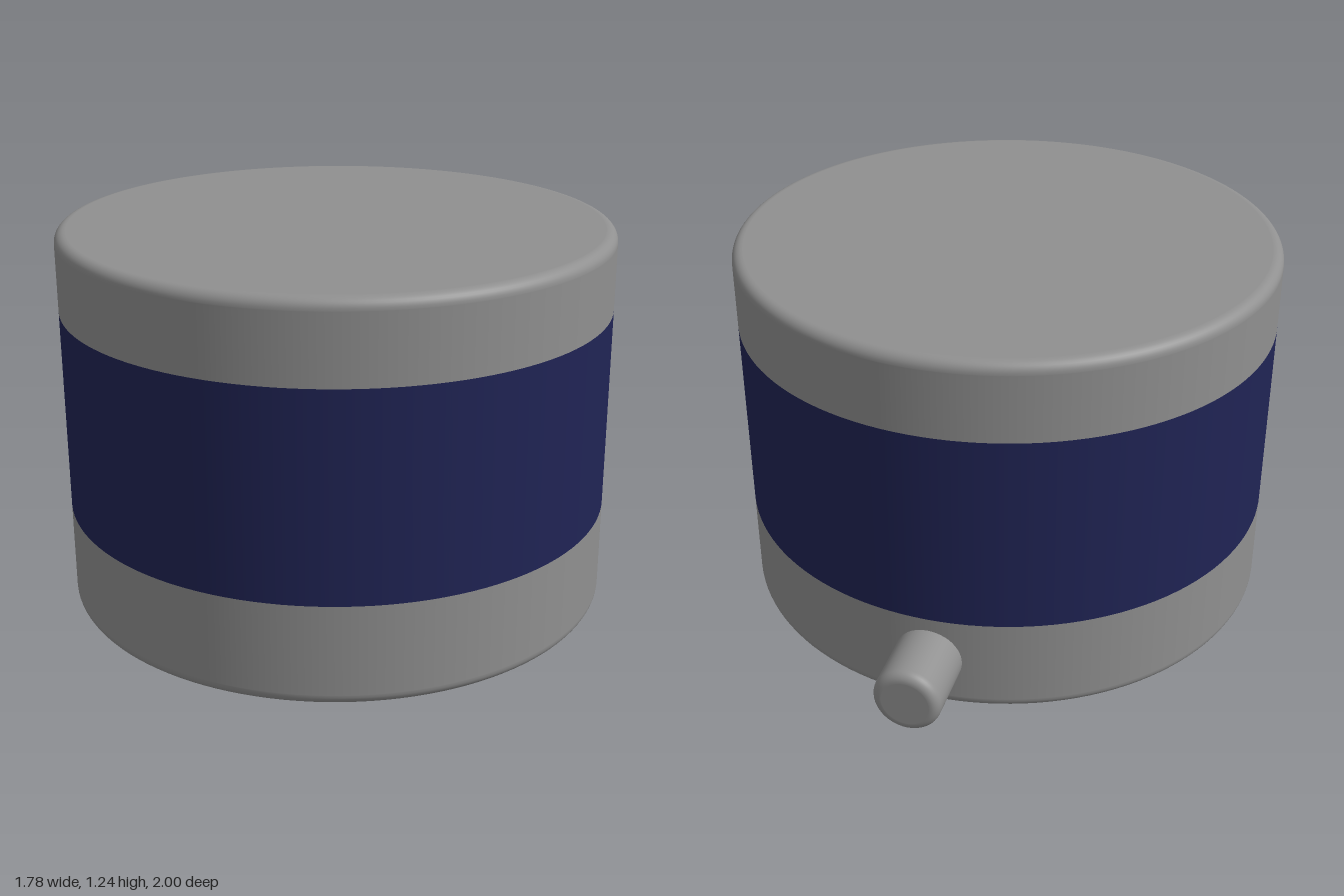
import * as THREE from 'three';

const R = 0.889, H = 1.238, FILLET = 0.035, CZ = 0.111;
const BAND_LOW = 0.327, BAND_HIGH = 0.984, SEGMENTS = 128;

const grey = new THREE.MeshStandardMaterial({ color: 0x909090 });
const navy = new THREE.MeshStandardMaterial({ color: 0x202455 });

// Points of a quarter round from angle a0 to a1 around (x, y)
function quarter(x, y, r, a0, a1, n = 8) {
  return Array.from({ length: n + 1 }, (_, i) => {
    const a = a0 + (a1 - a0) * i / n;
    return new THREE.Vector2(x + r * Math.cos(a), y + r * Math.sin(a));
  });
}

// Profile of an upright wall with a rounded rim and a flat end on top
function cappedProfile(radius, y0, y1, fillet) {
  return [
    new THREE.Vector2(radius, y0),
    new THREE.Vector2(radius, y1 - fillet - 0.002),
    ...quarter(radius - fillet, y1 - fillet, fillet, 0, Math.PI / 2),
    new THREE.Vector2(radius - fillet - 0.002, y1),
    new THREE.Vector2(0, y1),
  ];
}

// Outline of a round hole, or a slot along x when stretch > 0
function holePath(x, r, stretch) {
  const path = new THREE.Path();
  path.absarc(x + stretch, 0, r, -Math.PI / 2, Math.PI / 2, false);
  path.absarc(x - stretch, 0, r, Math.PI / 2, Math.PI * 1.5, false);
  path.closePath();
  return path;
}

export function createModel() {
  const model = new THREE.Group();
  const body = new THREE.Group();
  body.name = 'body';
  body.position.z = CZ;
  model.add(body);

  function add(parent, name, geometry, material = grey) {
    const mesh = new THREE.Mesh(geometry, material);
    mesh.name = name;
    parent.add(mesh);
    return mesh;
  }

  // Top cap, coloured band and base wall
  add(body, 'topCap', new THREE.LatheGeometry(cappedProfile(R, BAND_HIGH, H, FILLET), SEGMENTS));
  add(body, 'band', new THREE.LatheGeometry(
    [new THREE.Vector2(R, BAND_LOW), new THREE.Vector2(R, BAND_HIGH)], SEGMENTS), navy);
  add(body, 'baseWall', new THREE.LatheGeometry([
    ...quarter(R - FILLET, FILLET, FILLET, -Math.PI / 2, 0),
    new THREE.Vector2(R, FILLET + 0.002),
    new THREE.Vector2(R, BAND_LOW),
  ], SEGMENTS));

  // Underside plate with a centre hole, a round hole and a short slot
  const depth = 0.14;
  const plate = new THREE.Shape();
  plate.absarc(0, 0, R - FILLET, 0, Math.PI * 2, false);
  plate.holes = [holePath(0, 0.056, 0), holePath(-0.767, 0.045, 0), holePath(0.767, 0.045, 0.016)];
  const plateGeometry = new THREE.ExtrudeGeometry(plate, { depth, bevelEnabled: false, curveSegments: 64 });
  add(body, 'bottomPlate', plateGeometry.rotateX(-Math.PI / 2));

  // Closed ends of the holes
  const floor = new THREE.CircleGeometry(R - FILLET, 64).rotateX(Math.PI / 2);
  add(body, 'holeFloor', floor).position.y = depth;

  // Cable connector at the back
  const connector = add(model, 'connector',
    new THREE.LatheGeometry(cappedProfile(0.108, 0, 0.3, 0.03), 48).rotateX(-Math.PI / 2));
  connector.position.set(0, 0.176, -0.7);

  return model;
}
